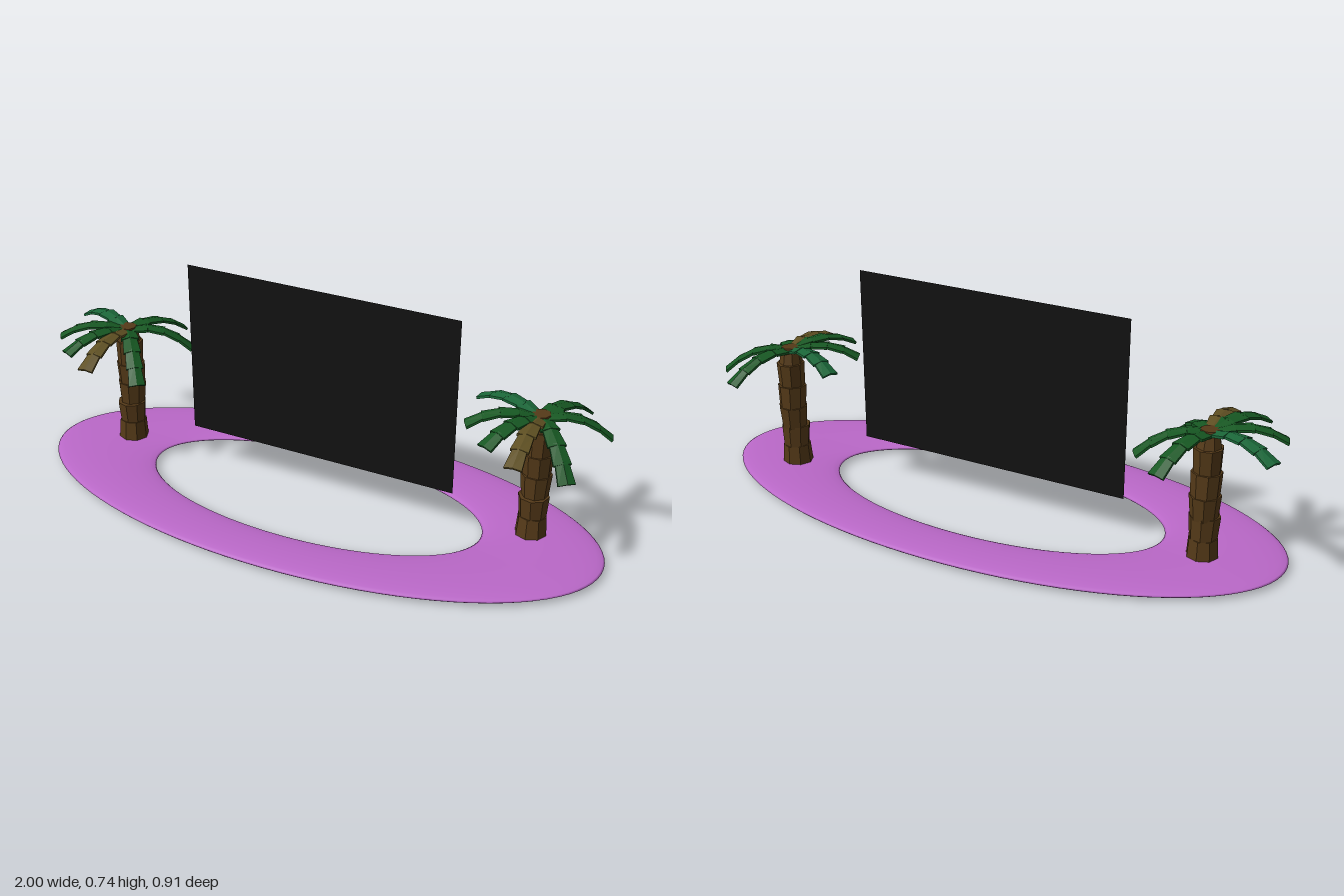
import * as THREE from 'three';

const mat = (color, extra = {}) => new THREE.MeshStandardMaterial({ color, ...extra });
const bark = mat(0x553a18, { flatShading: true });
const green = mat(0x165722, { flatShading: true });
const teal = mat(0x1a6638, { flatShading: true });
const olive = mat(0x5e4f22, { flatShading: true });

// Frond tips relative to the trunk foot: x, y, z, material
const FRONDS = [
  [0.075, 0.38, -0.225, green],
  [0.19, 0.375, -0.105, green],
  [0.145, 0.335, 0.165, green],
  [0.01, 0.4, 0.26, olive],
  [-0.095, 0.42, 0.215, green],
  [-0.2, 0.42, 0.1, green],
  [-0.22, 0.425, -0.09, teal],
];

// Trunk rings: bottom y, top y, bottom radius, top radius, z lean
const RINGS = [
  [0.015, 0.095, 0.053, 0.047, 0],
  [0.09, 0.168, 0.044, 0.05, -0.001],
  [0.163, 0.242, 0.043, 0.05, -0.008],
  [0.237, 0.318, 0.045, 0.049, -0.009],
  [0.312, 0.4, 0.043, 0.047, -0.008],
  [0.395, 0.455, 0.041, 0.03, -0.005],
];

// One leaf plate: wider at its outer (+z) end, with a slight central ridge
function leafPlate(length, width) {
  const geo = new THREE.BoxGeometry(width, 0.008, length, 2, 1, 1);
  const p = geo.attributes.position;
  for (let i = 0; i < p.count; i++) {
    const x = p.getX(i);
    if (Math.abs(x) < 1e-6) p.setY(i, p.getY(i) + 0.007);
    if (p.getZ(i) < 0) p.setX(i, x * 0.78);
  }
  geo.computeVertexNormals();
  return geo;
}

// A frond is a chain of overlapping plates along a drooping curve
function makeFrond([x, y, z, material]) {
  const frond = new THREE.Group();
  frond.name = 'frond';
  const curve = new THREE.QuadraticBezierCurve3(
    new THREE.Vector3(x * 0.06, 0.442, z * 0.06),
    new THREE.Vector3(x * 0.55, 0.45 + (y - 0.33) * 0.4, z * 0.55),
    new THREE.Vector3(x, y, z));
  const count = 4;
  for (let i = 0; i < count; i++) {
    const a = curve.getPointAt(i / count);
    const b = curve.getPointAt((i + 1) / count);
    const plate = new THREE.Mesh(
      leafPlate(a.distanceTo(b) + 0.01, 0.062 - i * 0.002), material);
    plate.name = 'leafPlate';
    plate.position.copy(a).lerp(b, 0.5);
    plate.lookAt(b);
    frond.add(plate);
  }
  return frond;
}

function makePalm(x, z) {
  const palm = new THREE.Group();
  palm.name = 'palmTree';
  RINGS.forEach(([y0, y1, r0, r1, lean], i) => {
    const ring = new THREE.Mesh(new THREE.CylinderGeometry(r1, r0, y1 - y0, 8), bark);
    ring.name = 'trunkRing';
    ring.position.set(0, (y0 + y1) / 2, lean);
    ring.rotation.set(i % 2 ? 0.03 : -0.03, i * 0.15, 0);
    palm.add(ring);
  });
  FRONDS.forEach((f) => palm.add(makeFrond(f)));
  palm.position.set(x, 0, z);
  return palm;
}

export function createModel() {
  const model = new THREE.Group();

  // Flattened oval ring base
  const ringGeo = new THREE.TorusGeometry(0.8, 0.2, 24, 96);
  ringGeo.rotateX(-Math.PI / 2);
  ringGeo.scale(1, 0.075, 0.457);
  ringGeo.translate(0, 0.015, 0);
  const base = new THREE.Mesh(ringGeo, mat(0xba68c8));
  base.name = 'ovalBase';
  model.add(base);

  // Floating flat screen
  const screen = new THREE.Mesh(
    new THREE.PlaneGeometry(0.966, 0.6), mat(0x111111, { side: THREE.DoubleSide }));
  screen.name = 'screen';
  screen.position.set(0.008, 0.442, -0.026);
  model.add(screen);

  // Palms at both ends
  model.add(makePalm(-0.75, -0.045), makePalm(0.735, -0.1));
  return model;
}
